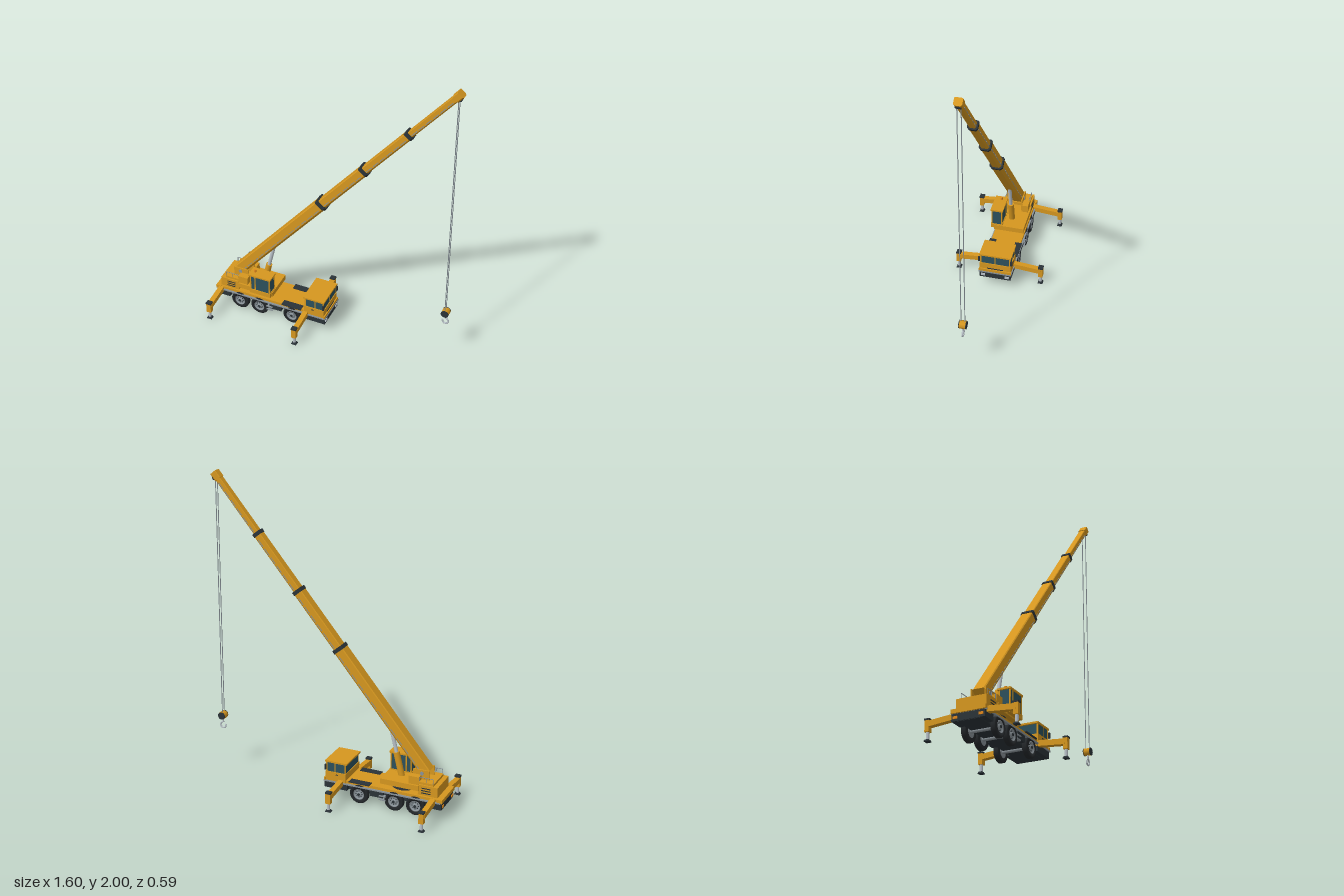
import * as THREE from 'three';

const mat = (name, color, side = THREE.FrontSide) => {
  const m = new THREE.MeshStandardMaterial({ color, side });
  m.name = name;
  return m;
};

export function createModel() {
  const yellow = mat('yellow paint', 0xd6971f);
  const dark = mat('dark frame', 0x2b3338);
  const rubber = mat('tyre rubber', 0x24282b);
  const glass = mat('tinted glass', 0x2c505c);
  const grey = mat('grey metal', 0x8a9399);
  const steel = mat('bright steel', 0xb9c1c8);
  const amber = mat('amber lamp', 0xe0881c);

  const root = new THREE.Group();
  root.name = 'mobileCrane';
  const group = (name, parent = root) => {
    const g = new THREE.Group();
    g.name = name;
    parent.add(g);
    return g;
  };
  const add = (p, name, geo, m, x = 0, y = 0, z = 0) => {
    const mesh = new THREE.Mesh(geo, m);
    mesh.name = name;
    mesh.position.set(x, y, z);
    p.add(mesh);
    return mesh;
  };
  // box given by its limits on each axis
  const box = (p, name, m, x0, x1, y0, y1, z0, z1) =>
    add(p, name, new THREE.BoxGeometry(x1 - x0, y1 - y0, z1 - z0), m, (x0 + x1) / 2, (y0 + y1) / 2, (z0 + z1) / 2);
  // round bar between two points
  const bar = (p, name, m, a, b, r, sides = 12) => {
    const A = new THREE.Vector3(...a), B = new THREE.Vector3(...b);
    const mesh = add(p, name, new THREE.CylinderGeometry(r, r, A.distanceTo(B), sides), m);
    mesh.position.copy(A).add(B).multiplyScalar(0.5);
    mesh.quaternion.setFromUnitVectors(new THREE.Vector3(0, 1, 0), B.sub(A).normalize());
    return mesh;
  };

  // Carrier chassis and deck
  const chassis = group('chassis');
  box(chassis, 'frameRails', dark, -0.79, -0.02, 0.065, 0.11, -0.07, 0.07);
  for (const [a, b] of [[-0.795, -0.7], [-0.41, -0.325], [-0.165, -0.012]])
    box(chassis, 'sideSkirt', dark, a, b, 0.067, 0.11, -0.104, 0.104);
  box(chassis, 'edgePlate', grey, -0.79, -0.008, 0.108, 0.117, -0.11, 0.11);
  box(chassis, 'deck', yellow, -0.8, -0.015, 0.117, 0.135, -0.1, 0.1);
  box(chassis, 'rearDeck', yellow, -0.8, -0.765, 0.113, 0.137, -0.108, 0.108);
  for (const s of [1, -1]) {
    box(chassis, 'treadPlate', dark, -0.318, -0.18, 0.132, 0.139, s * 0.0875 - 0.0225, s * 0.0875 + 0.0225);
    for (const y of [0.055, 0.08]) box(chassis, 'step', grey, -0.43, -0.385, y, y + 0.006, s * 0.1 - 0.012, s * 0.1 + 0.012);
    box(chassis, 'headlamp', steel, -0.014, -0.008, 0.08, 0.097, s * 0.08 - 0.014, s * 0.08 + 0.014);
    box(chassis, 'tailLamp', amber, -0.8, -0.793, 0.08, 0.095, s * 0.08 - 0.014, s * 0.08 + 0.014);
  }

  // Wheels: lathed tyre and dished rim, axis along z
  const pts = a => a.map(([r, y]) => new THREE.Vector2(r, y));
  const tyreGeo = new THREE.LatheGeometry(pts([[0.036, -0.017], [0.056, -0.017], [0.062, -0.012], [0.062, 0.012], [0.056, 0.017], [0.036, 0.017], [0.036, -0.017]]), 28);
  const rimGeo = new THREE.LatheGeometry(pts([[0, -0.014], [0.037, -0.014], [0.037, 0.017], [0.032, 0.017], [0.027, 0.009], [0.014, 0.011], [0.014, 0.018], [0, 0.018]]), 24);
  for (const x of [-0.625, -0.483, -0.248]) {
    const axle = group('axle');
    bar(axle, 'axleBeam', grey, [x, 0.062, -0.085], [x, 0.062, 0.085], 0.011);
    for (const s of [1, -1]) {
      const w = group('wheel', axle);
      w.position.set(x, 0.062, s * 0.091);
      w.rotation.x = s * Math.PI / 2;
      add(w, 'tyre', tyreGeo, rubber);
      add(w, 'rim', rimGeo, grey);
      add(w, 'hubCap', new THREE.CylinderGeometry(0.009, 0.009, 0.004, 12), dark, 0, 0.019, 0);
      for (let i = 0; i < 8; i++) {
        const t = i * Math.PI / 4;
        add(w, 'rimHole', new THREE.CylinderGeometry(0.0035, 0.0035, 0.004, 8), dark, 0.021 * Math.cos(t), 0.0095, 0.021 * Math.sin(t));
      }
    }
  }

  // Outriggers: sloping beam, jack and pad
  for (const [x, s, end] of [[-0.762, 1, 0.278], [-0.148, 1, 0.278], [-0.738, -1, 0.283], [-0.123, -1, 0.283]]) {
    const o = group('outrigger');
    const len = end - 0.08;
    const beam = add(o, 'beam', new THREE.BoxGeometry(0.034, 0.034, len), yellow, x, 0.108, s * (0.08 + len / 2));
    beam.rotation.x = s * 0.09;
    const z = s * end;
    box(o, 'jackHousing', yellow, x - 0.016, x + 0.016, 0.055, 0.122, z - 0.014, z + 0.014);
    box(o, 'jackCap', dark, x - 0.018, x + 0.018, 0.122, 0.132, z - 0.016, z + 0.016);
    bar(o, 'jackRod', steel, [x, 0.01, z], [x, 0.06, z], 0.01);
    add(o, 'pad', new THREE.CylinderGeometry(0.014, 0.021, 0.012, 4, 1, false, Math.PI / 4).scale(1.25, 1, 1.1), dark, x, 0.006, z);
  }

  // Glazed cab: lower body, glass, pillars and roof
  function cab(name, x0, x1, y0, sill, y1, z0, z1, posts) {
    const c = group(name), e = 0.005, w = 0.008;
    box(c, 'body', yellow, x0, x1, y0, sill, z0, z1);
    box(c, 'glazing', glass, x0 + e, x1 - e, sill, y1, z0 + e, z1 - e);
    for (const z of [z0 + 0.003, z1 - 0.003 - w])
      for (const x of [x0 + 0.003, x1 - 0.003 - w, ...posts]) box(c, 'pillar', yellow, x, x + w, sill, y1, z, z + w);
    box(c, 'roof', yellow, x0 - 0.007, x1 + 0.003, y1, y1 + 0.011, z0 - 0.002, z1 + 0.002);
    return c;
  }
  const drive = cab('drivingCab', -0.157, -0.018, 0.117, 0.178, 0.24, -0.104, 0.104, [-0.085]);
  box(drive, 'windscreenPost', yellow, -0.024, -0.02, 0.178, 0.24, -0.003, 0.003);
  box(drive, 'grille', dark, -0.019, -0.015, 0.137, 0.143, -0.055, 0.055);
  box(drive, 'nose', yellow, -0.02, -0.01, 0.113, 0.135, -0.108, 0.108);
  for (const s of [1, -1]) {
    box(drive, 'mirror', dark, -0.024, -0.014, 0.19, 0.225, s * 0.108 - 0.006, s * 0.108 + 0.006);
    box(drive, 'doorHandle', dark, -0.105, -0.09, 0.16, 0.165, s * 0.105 - 0.002, s * 0.105 + 0.002);
  }

  const oper = cab('operatorCab', -0.54, -0.392, 0.175, 0.206, 0.314, 0.043, 0.123, [-0.505]);
  add(oper, 'beacon', new THREE.CylinderGeometry(0.008, 0.009, 0.018, 12), amber, -0.517, 0.333, 0.08);

  // Slewing upperworks
  const upper = group('upperworks');
  add(upper, 'turntable', new THREE.CylinderGeometry(0.073, 0.078, 0.034, 32), dark, -0.512, 0.15, 0);
  box(upper, 'platform', yellow, -0.64, -0.388, 0.165, 0.2, -0.102, 0.1);
  box(upper, 'counterweight', yellow, -0.765, -0.637, 0.14, 0.207, -0.095, 0.095);
  box(upper, 'counterweightTop', yellow, -0.735, -0.637, 0.207, 0.222, -0.085, 0.085);
  for (const s of [1, -1]) {
    box(upper, 'sideHousing', yellow, -0.64, -0.572, 0.2, 0.252, s * 0.068 - 0.022, s * 0.068 + 0.022);
    box(upper, 'boomBracket', yellow, -0.69, -0.585, 0.2, 0.285, s * 0.044 - 0.004, s * 0.044 + 0.004);
    for (let i = 0; i < 3; i++) box(upper, 'vent', dark, -0.72, -0.66, 0.153 + i * 0.016, 0.159 + i * 0.016, s * 0.095 - 0.002, s * 0.095 + 0.002);
    bar(upper, 'handrail', grey, [-0.73, 0.253, s * 0.082], [-0.64, 0.253, s * 0.082], 0.0022, 6);
    for (const x of [-0.73, -0.685, -0.64]) bar(upper, 'railPost', grey, [x, 0.21, s * 0.082], [x, 0.253, s * 0.082], 0.0022, 6);
  }
  bar(upper, 'pivotPin', grey, [-0.643, 0.262, -0.052], [-0.643, 0.262, 0.052], 0.012, 16);

  // Lifting cylinder
  const ram = group('liftCylinder');
  bar(ram, 'barrel', yellow, [-0.495, 0.18, 0], [-0.453, 0.35, 0], 0.02, 18);
  bar(ram, 'rod', steel, [-0.453, 0.35, 0], [-0.414, 0.51, 0], 0.012, 16);

  // Telescopic boom: bevelled sections along local x
  const boom = group('boom');
  boom.position.set(-0.66, 0.258, 0);
  boom.rotation.z = Math.atan2(0.768, 0.64);
  function section(name, m, from, to, h, w) {
    const b = w * 0.35;
    const s = new THREE.Shape(pts([[-w, h - b * 0.4], [-w, -h + b], [-w + b, -h], [w - b, -h], [w, -h + b], [w, h - b * 0.4], [w - b * 0.4, h], [-w + b * 0.4, h]]));
    const g = new THREE.ExtrudeGeometry(s, { depth: to - from, bevelEnabled: false });
    add(boom, name, g.rotateY(Math.PI / 2), m, from, 0, 0);
  }
  const ends = [0, 0.927, 1.36, 1.79, 2.215];
  for (let i = 0; i < 4; i++) {
    const h = 0.037 - i * 0.0058, w = 0.038 - i * 0.0055;
    section('boomSection', yellow, Math.max(0, ends[i] - 0.03), ends[i + 1], h, w);
    if (i < 3) section('boomCollar', dark, ends[i + 1] - 0.012, ends[i + 1] + 0.012, h + 0.004, w + 0.004);
    // dashed wear strips on both flanks
    const n = i ? 6 : 13, step = (ends[i + 1] - ends[i] - 0.04) / n;
    for (const s of [1, -1])
      for (let k = 0; k < n; k++) {
        const a = ends[i] + 0.02 + k * step;
        box(boom, 'wearStrip', grey, a, a + step * 0.75, -h * 0.5, -h * 0.5 + 0.005, s * w - 0.002, s * w + 0.002);
      }
  }
  section('boomHead', yellow, 2.2, 2.252, 0.024, 0.025);
  bar(boom, 'headSheave', dark, [2.222, -0.016, -0.017], [2.222, -0.016, 0.017], 0.015, 18);

  // Hoist ropes, block and hook
  const hoist = group('hoist');
  const hx = 0.768;
  for (const z of [-0.012, 0.012]) bar(hoist, 'rope', grey, [hx, 0.38, z], [hx, 1.955, z], 0.0028, 8);
  bar(hoist, 'hookBlock', yellow, [hx + 0.002, 0.372, -0.02], [hx + 0.002, 0.372, 0.02], 0.026, 8);
  for (const s of [1, -1]) bar(hoist, 'blockCheek', dark, [hx + 0.002, 0.372, s * 0.02], [hx + 0.002, 0.372, s * 0.024], 0.025, 20);
  bar(hoist, 'hookShank', steel, [hx + 0.002, 0.322, 0], [hx + 0.002, 0.35, 0], 0.006);
  const curve = new THREE.CatmullRomCurve3([[0, 0.326], [0.012, 0.318], [0.02, 0.302], [0.012, 0.286], [-0.003, 0.283], [-0.016, 0.291], [-0.019, 0.306]]
    .map(([x, y]) => new THREE.Vector3(hx + 0.002 + x, y, 0)));
  add(hoist, 'hook', new THREE.TubeGeometry(curve, 28, 0.0055, 10), steel);
  add(hoist, 'hookTip', new THREE.SphereGeometry(0.0055, 10, 8), steel, hx - 0.017, 0.306, 0);

  return root;
}
